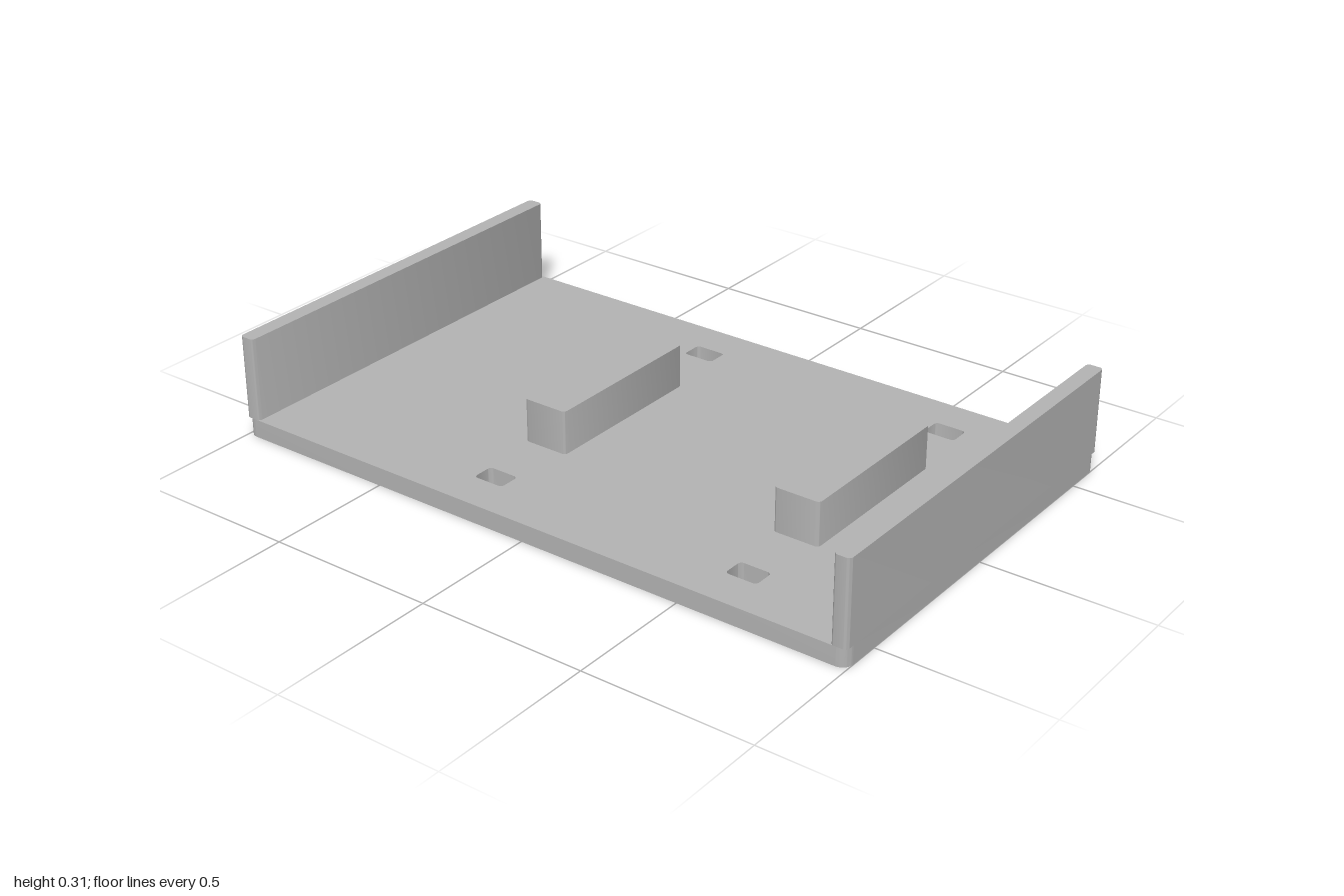
import * as THREE from 'three';
import { toCreasedNormals } from 'three/addons/utils/BufferGeometryUtils.js';

// Rounded rectangle centred on (cx, cy)
function roundedRect(path, cx, cy, w, h, r) {
  const x = w / 2 - r, y = h / 2 - r, q = Math.PI / 2;
  path.absarc(cx + x, cy + y, r, 0, q);
  path.absarc(cx - x, cy + y, r, q, 2 * q);
  path.absarc(cx - x, cy - y, r, 2 * q, 3 * q);
  path.absarc(cx + x, cy - y, r, 3 * q, 4 * q);
  path.closePath();
  return path;
}

// Extrude a plan outline upward from y0 to y1
function slab(name, shape, y0, y1, material) {
  let geometry = new THREE.ExtrudeGeometry(shape, { depth: y1 - y0, bevelEnabled: false, curveSegments: 8 });
  geometry.rotateX(-Math.PI / 2);
  geometry.translate(0, y0, 0);
  geometry = toCreasedNormals(geometry, 0.6);
  const mesh = new THREE.Mesh(geometry, material);
  mesh.name = name;
  return mesh;
}

export function createModel() {
  const group = new THREE.Group();
  group.name = 'mountingTray';
  const grey = new THREE.MeshStandardMaterial({ color: 0xb3b3b3 });
  grey.name = 'grey';

  const depth = 1.246, floorTop = 0.055;
  const ribCentres = [-0.212, 0.612];

  // Floor plate with four slots
  const plate = roundedRect(new THREE.Shape(), 0, 0, 2, depth, 0.032);
  for (const x of ribCentres) {
    for (const side of [-1, 1]) {
      plate.holes.push(roundedRect(new THREE.Path(), x, side * 0.473, 0.095, 0.066, 0.012));
    }
  }
  group.add(slab('floorPlate', plate, 0, floorTop, grey));

  // Side walls
  for (const [name, side] of [['rightWall', -1], ['leftWall', 1]]) {
    const outline = roundedRect(new THREE.Shape(), side * 0.976, 0, 0.048, depth, 0.012);
    group.add(slab(name, outline, floorTop, 0.305, grey));
  }

  // Support blocks between the slots
  ribCentres.forEach((x, i) => {
    const outline = roundedRect(new THREE.Shape(), x, 0, 0.14, 0.53, 0.012);
    group.add(slab(i ? 'leftBlock' : 'rightBlock', outline, floorTop, 0.185, grey));
  });

  return group;
}
